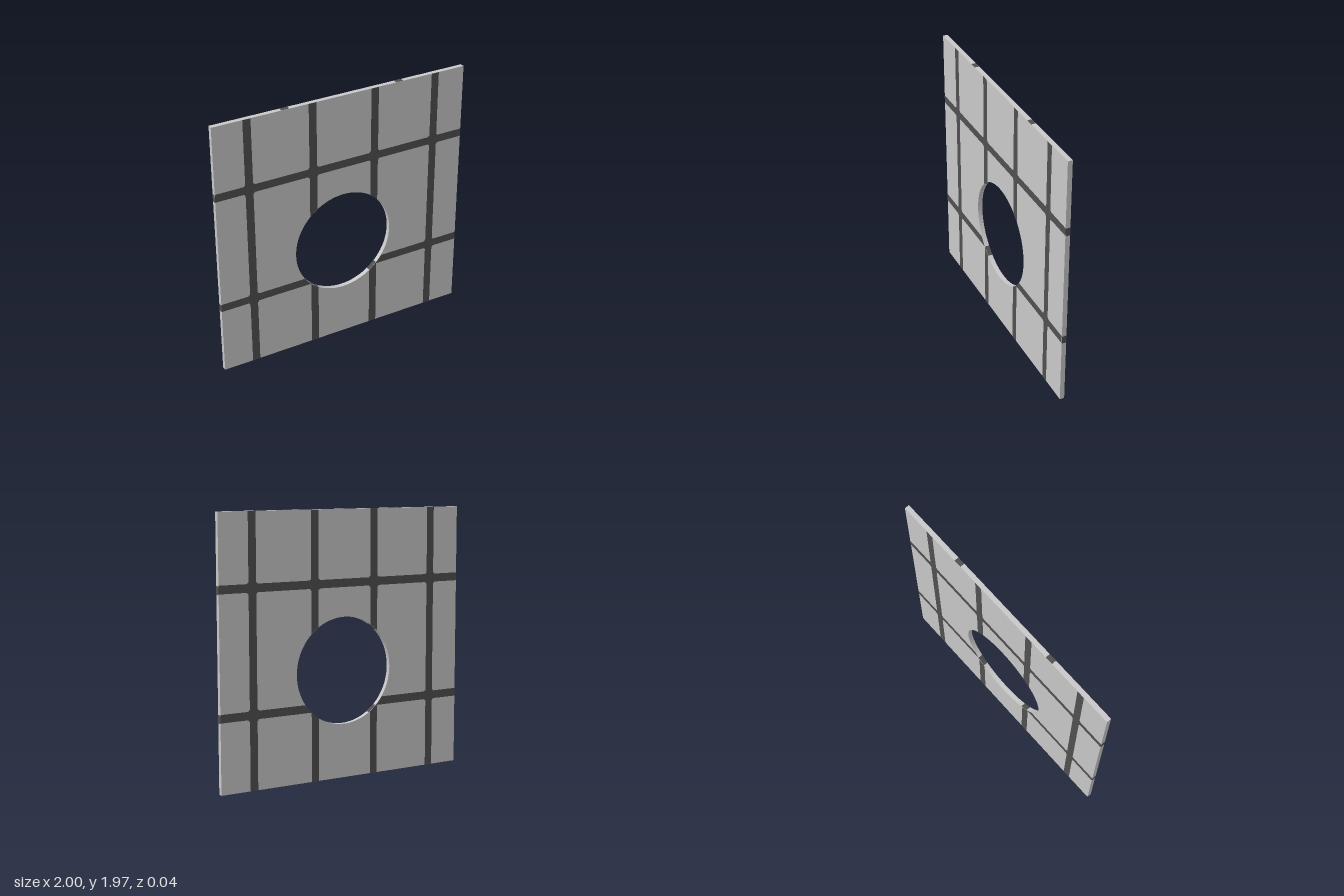
import * as THREE from 'three';

const W = 0.999, H = 1.965, T = 0.0175;          // half width, height, half thickness
const CY = 0.795, R = 0.394;                     // round opening
const LIFT = 0.0012;                             // joints sit just proud of the tiles
const COLS = [-0.742, -0.244, 0.254, 0.754];     // upright joints
const ROWS = [0.542, 1.435];                     // level joints
const HALF = 0.03;                               // half joint width

export function createModel() {
  const tile = new THREE.MeshStandardMaterial({ color: 0xc8c8c8 });
  tile.name = 'tile grey';
  const joint = new THREE.MeshStandardMaterial({ color: 0x505050, side: THREE.DoubleSide });
  joint.name = 'joint grey';

  const model = new THREE.Group();
  model.name = 'tiledPanel';
  const add = (parent, name, geometry, material) => {
    const mesh = new THREE.Mesh(geometry, material);
    mesh.name = name;
    parent.add(mesh);
    return mesh;
  };

  // Slab with the round opening
  const outline = new THREE.Shape([[-W, 0], [W, 0], [W, H], [-W, H]].map(p => new THREE.Vector2(...p)));
  const opening = new THREE.Path();
  opening.absarc(0, CY, R, 0, Math.PI * 2, true);
  outline.holes.push(opening);
  const slab = new THREE.ExtrudeGeometry(outline, { depth: 2 * T, bevelEnabled: false, curveSegments: 48 });
  add(model, 'slab', slab.translate(0, 0, -T), tile);

  // Strip across [c - HALF, c + HALF] running from a straight end to the opening's rim
  const rimStrip = (c, end, centreAcross, centreAlong, upright) => {
    const points = [[c - HALF, end], [c + HALF, end]];
    for (let i = 0; i <= 8; i++) {
      const a = c + HALF - (i / 8) * 2 * HALF;
      const reach = Math.sqrt(R * R - (a - centreAcross) ** 2);
      points.push([a, centreAlong + Math.sign(end - centreAlong) * reach]);
    }
    return new THREE.ShapeGeometry(new THREE.Shape(
      points.map(([a, b]) => upright ? new THREE.Vector2(a, b) : new THREE.Vector2(b, a))));
  };

  // Joint pattern, the same on both faces as each is looked at
  for (const side of ['front', 'back']) {
    const face = new THREE.Group();
    face.name = side + 'Joints';
    if (side === 'back') face.rotation.y = Math.PI;
    model.add(face);
    const plate = (name, geometry) => { add(face, name, geometry, joint).position.z = T + LIFT; };

    for (const x of COLS) {
      if (Math.abs(x) > R) {
        plate('uprightJoint', new THREE.PlaneGeometry(2 * HALF, H).translate(x, H / 2, 0));
      } else {
        for (const end of [0, H]) plate('uprightJoint', rimStrip(x, end, 0, CY, true));
      }
    }
    for (const y of ROWS) {
      if (Math.abs(y - CY) > R) {
        plate('levelJoint', new THREE.PlaneGeometry(2 * W, 2 * HALF).translate(0, y, 0));
      } else {
        for (const end of [-W, W]) plate('levelJoint', rimStrip(y, end, CY, 0, false));
      }
    }
    // Clipped tile corners at the crossings clear of the opening
    for (const x of COLS) for (const y of ROWS) {
      if (Math.hypot(x, y - CY) > R + 0.1) {
        plate('jointCrossing', new THREE.CircleGeometry(2 * HALF + 0.013, 4).translate(x, y, 0));
      }
    }
  }

  // Joints across the outer edges
  for (const x of [-0.45, 0.455]) for (const y of [0, H]) {
    const cap = new THREE.PlaneGeometry(2 * HALF, 2 * T).rotateX(y ? -Math.PI / 2 : Math.PI / 2);
    add(model, 'edgeJoint', cap.translate(x, y ? H + 0.001 : -0.0005, 0), joint);
  }
  for (const y of [0.538, 1.43]) for (const s of [-1, 1]) {
    const cap = new THREE.PlaneGeometry(2 * T, 2 * HALF).rotateY(s * Math.PI / 2);
    add(model, 'edgeJoint', cap.translate(s * (W + 0.001), y, 0), joint);
  }

  // Joints across the wall of the opening
  for (const x of [COLS[1], COLS[2]]) for (const up of [1, -1]) {
    const angle = a => Math.atan2(a, up * Math.sqrt(R * R - a * a));
    const a0 = angle(x - HALF), a1 = angle(x + HALF);
    const wall = new THREE.CylinderGeometry(R - 0.002, R - 0.002, 2 * T, 6, 1, true, Math.min(a0, a1), Math.abs(a1 - a0));
    add(model, 'openingJoint', wall.rotateX(-Math.PI / 2).translate(0, CY, 0), joint);
  }
  return model;
}
